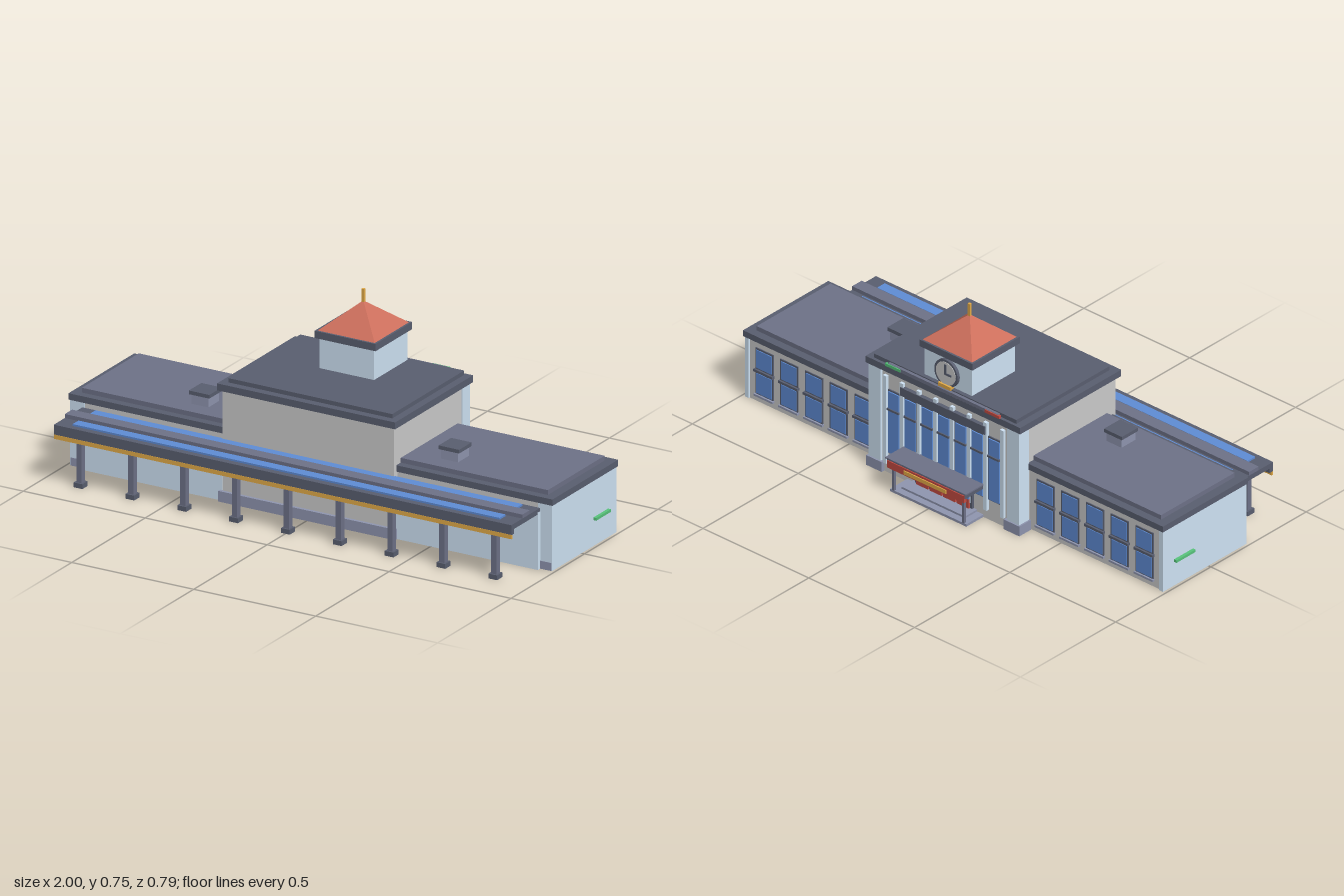
import * as THREE from 'three';

const mat = (color) => new THREE.MeshStandardMaterial({ color, flatShading: true });
const M = {
  grey: mat(0xcccccc), wall: mat(0xd0e4f6), dark: mat(0x5a5f70), roof: mat(0x6e7288),
  plinth: mat(0x9096b0), glass: mat(0x5f8dd6), tile: mat(0xcc6f5c), gold: mat(0xe4ac48),
  green: mat(0x58c47c), red: mat(0xc44c42),
};

export function createModel() {
  const model = new THREE.Group();
  const group = (name) => {
    const g = new THREE.Group();
    g.name = name;
    model.add(g);
    return g;
  };
  // Box given by its extents on each axis
  const box = (parent, name, m, x0, x1, y0, y1, z0, z1) => {
    const mesh = new THREE.Mesh(
      new THREE.BoxGeometry(Math.abs(x1 - x0), Math.abs(y1 - y0), Math.abs(z1 - z0)), m);
    mesh.position.set((x0 + x1) / 2, (y0 + y1) / 2, (z0 + z1) / 2);
    mesh.name = name;
    parent.add(mesh);
    return mesh;
  };
  const wide = (parent, name, m, hx, y0, y1, z0, z1) => box(parent, name, m, -hx, hx, y0, y1, z0, z1);

  // Side wings, mirrored
  for (const s of [1, -1]) {
    const w = group(s > 0 ? 'leftWing' : 'rightWing');
    const b = (name, m, x0, x1, ...r) => box(w, name, m, s * x0, s * x1, ...r);
    b('wingBody', M.grey, 0.34, 0.985, 0, 0.25, -0.232, 0.197);
    b('endWall', M.wall, 0.97, 0.988, 0, 0.25, -0.238, 0.2);
    b('frontCornerWall', M.wall, 0.93, 0.987, 0, 0.25, 0.19, 0.2);
    b('cornerPlinth', M.plinth, 0.94, 0.985, 0, 0.03, 0.19, 0.202);
    b('platformWall', M.wall, 0.354, 0.94, 0, 0.215, 0.195, 0.218);
    b('roofSlab', M.dark, 0.35, 0.992, 0.248, 0.272, -0.243, 0.205);
    b('roofPanel', M.roof, 0.35, 0.955, 0.272, 0.29, -0.212, 0.175);
    b('chimney', M.plinth, 0.477, 0.547, 0.285, 0.326, 0.034, 0.108);
    b('chimneyCap', M.dark, 0.47, 0.554, 0.326, 0.34, 0.028, 0.113);
    b('endLight', M.green, 0.985, 1.0, 0.098, 0.108, -0.18, -0.08);
    // Rear windows, two panes each with sill and crossbar
    for (let i = 0; i < 5; i++) {
      const x = 0.43 + i * 0.117;
      b('windowFrame', M.dark, x - 0.042, x + 0.042, 0.03, 0.22, -0.225, -0.236);
      b('upperPane', M.glass, x - 0.036, x + 0.036, 0.14, 0.213, -0.23, -0.239);
      b('lowerPane', M.glass, x - 0.036, x + 0.036, 0.037, 0.118, -0.23, -0.239);
      b('crossbar', M.dark, x - 0.045, x + 0.045, 0.124, 0.134, -0.23, -0.244);
      b('sill', M.plinth, x - 0.045, x + 0.045, 0.024, 0.032, -0.23, -0.243);
    }
  }

  // Central hall
  const hall = group('centralHall');
  wide(hall, 'hallBody', M.grey, 0.352, 0, 0.425, -0.283, 0.22);
  wide(hall, 'frontPlinth', M.plinth, 0.363, 0, 0.04, 0.2, 0.232);
  wide(hall, 'roofCornice', M.dark, 0.365, 0.42, 0.446, -0.296, 0.235);
  wide(hall, 'roofTop', M.dark, 0.336, 0.446, 0.462, -0.284, 0.206);
  wide(hall, 'rearParapet', M.roof, 0.26, 0.444, 0.458, -0.296, -0.23);
  for (const s of [1, -1]) {
    box(hall, 'rearPilaster', M.wall, s * 0.298, s * 0.356, 0, 0.42, -0.238, -0.291);
    box(hall, 'pilasterPlinth', M.plinth, s * 0.288, s * 0.362, 0, 0.04, -0.236, -0.297);
    box(hall, 'cornerLight', s > 0 ? M.green : M.red, s * 0.2, s * 0.27, 0.446, 0.457, -0.29, -0.3);
  }

  // Tall rear windows with slim pilasters between
  const facade = group('rearFacade');
  for (let i = 0; i < 7; i++) {
    const x = (i - 3) * 0.079;
    box(facade, 'tallFrame', M.dark, x - 0.03, x + 0.03, 0.085, 0.346, -0.28, -0.288);
    box(facade, 'tallPane', M.glass, x - 0.025, x + 0.025, 0.09, 0.34, -0.282, -0.293);
    box(facade, 'tallCrossbar', M.dark, x - 0.028, x + 0.028, 0.265, 0.273, -0.282, -0.297);
  }
  for (let i = 0; i < 8; i++) {
    const x = (i - 3.5) * 0.079;
    box(facade, 'slimPilaster', M.wall, x - 0.008, x + 0.008, 0.04, 0.4, -0.28, -0.295);
  }
  wide(facade, 'signBoard', M.dark, 0.2, 0.352, 0.385, -0.282, -0.299);
  wide(facade, 'doorSurround', M.dark, 0.135, 0.015, 0.09, -0.28, -0.292);
  for (let i = 0; i < 4; i++) {
    const x = (i - 1.5) * 0.064;
    box(facade, 'door', M.red, x - 0.028, x + 0.028, 0.018, 0.055, -0.282, -0.299);
    box(facade, 'doorGlass', M.glass, x - 0.028, x + 0.028, 0.056, 0.085, -0.282, -0.3);
  }

  // Entrance canopy and steps
  const entry = group('entranceCanopy');
  wide(entry, 'canopySlab', M.dark, 0.185, 0.12, 0.139, -0.285, -0.384);
  wide(entry, 'canopyTop', M.roof, 0.19, 0.138, 0.143, -0.29, -0.388);
  wide(entry, 'canopyFascia', M.red, 0.182, 0.104, 0.133, -0.374, -0.388);
  wide(entry, 'fasciaPlate', M.gold, 0.1, 0.11, 0.125, -0.385, -0.392);
  for (const s of [1, -1])
    box(entry, 'canopyPost', M.roof, s * 0.16, s * 0.17, 0.01, 0.12, -0.364, -0.374);
  wide(entry, 'upperStep', M.plinth, 0.15, 0, 0.018, -0.28, -0.346);
  wide(entry, 'lowerStep', M.plinth, 0.18, 0, 0.01, -0.28, -0.373);

  // Clock tower
  const tower = group('tower');
  const tz = -0.155;
  wide(tower, 'towerBody', M.wall, 0.112, 0.45, 0.58, tz - 0.113, tz + 0.113);
  wide(tower, 'towerCornice', M.dark, 0.125, 0.577, 0.604, tz - 0.125, tz + 0.125);
  const pyramid = new THREE.Mesh(new THREE.ConeGeometry(0.117 * Math.SQRT2, 0.098, 4, 1), M.tile);
  pyramid.rotation.y = Math.PI / 4;
  pyramid.position.set(0, 0.653, tz);
  pyramid.name = 'towerRoof';
  tower.add(pyramid);
  wide(tower, 'spire', M.gold, 0.005, 0.69, 0.747, tz - 0.005, tz + 0.005);
  // Clock on the rear face
  const disc = (name, m, r, z, depth) => {
    const d = new THREE.Mesh(new THREE.CylinderGeometry(r, r, depth, 32), m);
    d.rotation.x = Math.PI / 2;
    d.position.set(0, 0.515, z);
    d.name = name;
    tower.add(d);
  };
  disc('clockRim', M.dark, 0.055, -0.273, 0.014);
  disc('clockFace', M.grey, 0.046, -0.275, 0.014);
  wide(tower, 'minuteHand', M.dark, 0.004, 0.512, 0.553, -0.28, -0.285);
  box(tower, 'hourHand', M.dark, -0.028, 0.004, 0.511, 0.519, -0.28, -0.285);
  wide(tower, 'clockPlate', M.gold, 0.03, 0.456, 0.472, -0.27, -0.289);

  // Platform canopy along the front
  const canopy = group('platformCanopy');
  wide(canopy, 'canopyDeck', M.dark, 0.938, 0.208, 0.228, 0.2, 0.395);
  wide(canopy, 'canopyRidge', M.roof, 0.938, 0.228, 0.243, 0.27, 0.32);
  for (const z of [0.235, 0.351])
    wide(canopy, 'skylight', M.glass, 0.875, 0.226, 0.235, z - 0.02, z + 0.02);
  wide(canopy, 'edgeBeam', M.dark, 0.938, 0.19, 0.21, 0.376, 0.394);
  wide(canopy, 'edgeStripe', M.gold, 0.938, 0.175, 0.191, 0.388, 0.395);
  for (let i = 0; i < 9; i++) {
    const x = (i - 4) * 0.2125;
    box(canopy, 'column', M.roof, x - 0.011, x + 0.011, 0.015, 0.21, 0.346, 0.369);
    box(canopy, 'columnBase', M.dark, x - 0.018, x + 0.018, 0, 0.018, 0.34, 0.376);
    box(canopy, 'bracket', M.roof, x - 0.009, x + 0.009, 0.184, 0.209, 0.265, 0.347);
  }
  return model;
}
